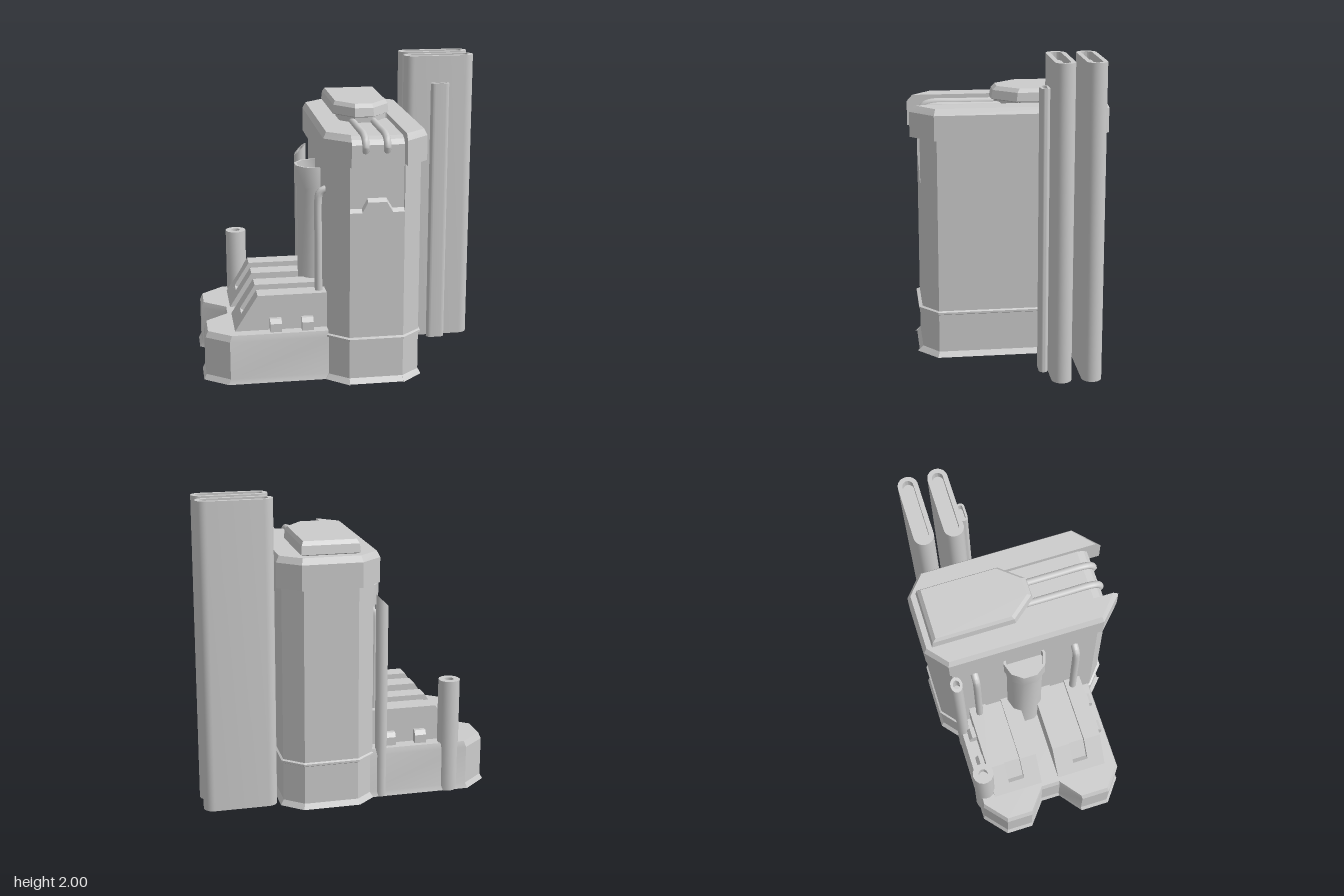
import * as THREE from 'three';
import { toCreasedNormals } from 'three/addons/utils/BufferGeometryUtils.js';

const SHARP = 0.3, ROUND = 0.7;
const material = new THREE.MeshStandardMaterial({ color: 0xcccccc, side: THREE.DoubleSide });

const shapeOf = (pts) => new THREE.Shape(pts.map(([x, y]) => new THREE.Vector2(x, y)));

// Stacks outlines of [x, z] points; each level is { y, pts }. The top may be closed.
function loft(levels, closeTop = true) {
  const out = [];
  const put = (p, y) => out.push(p[0], y, p[1]);
  for (let k = 0; k < levels.length - 1; k++) {
    const lo = levels[k], hi = levels[k + 1], n = lo.pts.length;
    for (let i = 0; i < n; i++) {
      const j = (i + 1) % n;
      put(lo.pts[i], lo.y); put(hi.pts[i], hi.y); put(lo.pts[j], lo.y);
      put(lo.pts[j], lo.y); put(hi.pts[i], hi.y); put(hi.pts[j], hi.y);
    }
  }
  if (closeTop) {
    const { y, pts } = levels[levels.length - 1];
    const flat = pts.map(([x, z]) => new THREE.Vector2(x, z));
    for (const [a, b, c] of THREE.ShapeUtils.triangulateShape(flat, [])) {
      const up = THREE.ShapeUtils.area([flat[a], flat[b], flat[c]]) < 0;
      for (const i of up ? [a, b, c] : [a, c, b]) put(pts[i], y);
    }
  }
  const g = new THREE.BufferGeometry();
  g.setAttribute('position', new THREE.Float32BufferAttribute(out, 3));
  return g;
}

const scaled = (pts, s, cx, cz) => pts.map(([x, z]) => [cx + (x - cx) * s, cz + (z - cz) * s]);

// Tower outline grown by d, with a front notch that reaches back to z = notch
function towerOutline(d, notch) {
  const x0 = -0.15 - d, x1 = 0.44 + d, e = d * 0.5, front = 0.577 + d * 1.8;
  return [[-0.03, front], [x0, 0.477 + e], [x0, -0.5 - e], [-0.03 - e, -0.6 - d],
    [0.32 + e, -0.6 - d], [x1, -0.5 - e], [x1, 0.477 + e], [0.32, front],
    [0.32, notch], [-0.03, notch]];
}

// Extrudes a [z, y] profile between x0 and x1
function extrudeX(profile, x0, x1) {
  const g = new THREE.ExtrudeGeometry(shapeOf(profile), { depth: x1 - x0, bevelEnabled: false });
  return g.rotateY(-Math.PI / 2).translate(x1, 0, 0);
}

// Upright flat tube with rounded ends
function stadium(halfX, r, height, holeR) {
  const trace = (path, rr) => {
    const c = halfX - r;
    path.absarc(c, 0, rr, -Math.PI / 2, Math.PI / 2, false);
    path.absarc(-c, 0, rr, Math.PI / 2, Math.PI * 1.5, false);
    path.closePath();
    return path;
  };
  const shape = trace(new THREE.Shape(), r);
  if (holeR) shape.holes.push(trace(new THREE.Path(), holeR));
  const g = new THREE.ExtrudeGeometry(shape, { depth: height, bevelEnabled: false, curveSegments: 8 });
  return g.rotateX(-Math.PI / 2);
}

// Round post with a sunk hole in its top
function hollowPost(r, hole, y0, y1, depth, sides) {
  const p = [[0, y0], [r, y0], [r, y1], [hole, y1], [hole, y1 - depth], [0, y1 - depth]];
  return new THREE.LatheGeometry(p.map(([x, y]) => new THREE.Vector2(x, y)), sides);
}

function bentPipe(points, r) {
  const curve = new THREE.CatmullRomCurve3(points.map((p) => new THREE.Vector3(...p)), false, 'centripetal');
  return new THREE.TubeGeometry(curve, 32, r, 10);
}

export function createModel() {
  const model = new THREE.Group();
  const add = (name, geo, crease = SHARP, x = 0, y = 0, z = 0) => {
    const mesh = new THREE.Mesh(toCreasedNormals(geo, crease), material);
    mesh.name = name;
    mesh.position.set(x, y, z);
    model.add(mesh);
    return mesh;
  };

  // Low side base with two lobes, a flared foot and a bevelled top
  const base = [[-0.1, 0.475], [-0.79, 0.475], [-0.94, 0.36], [-0.94, 0.165], [-0.79, 0.045],
    [-0.79, -0.085], [-0.94, -0.205], [-0.94, -0.385], [-0.79, -0.515], [-0.1, -0.515]];
  add('sideBase', loft([[0, 1.02], [0.035, 1], [0.29, 1], [0.33, 0.98]]
    .map(([y, s]) => ({ y, pts: scaled(base, s, -0.1, -0.02) }))));

  // Tower body, waist band and front panel
  add('towerBody', loft([[0, 0.02, 0.6], [0.035, 0, 0.577], [1, 0, 0.577], [1, 0, 0.55], [1.56, 0, 0.55]]
    .map(([y, d, notch]) => ({ y, pts: towerOutline(d, notch) }))));
  add('waistBand', loft([[0.288, 0], [0.295, 0.012], [0.308, 0.012], [0.315, 0]]
    .map(([y, d]) => ({ y, pts: towerOutline(d, 0.577 + d * 1.8) })), false));
  const plate = new THREE.ExtrudeGeometry(shapeOf([[-0.03, 0.99], [0.32, 0.99], [0.32, 1.165],
    [0.245, 1.165], [0.205, 1.232], [0.085, 1.232], [0.05, 1.165], [-0.03, 1.165]]),
  { depth: 0.027, bevelEnabled: false });
  const pos = plate.attributes.position;
  for (let i = 0; i < pos.count; i++) {
    if (pos.getZ(i) > 0.01 && pos.getY(i) > 1.1) pos.setY(i, pos.getY(i) - 0.022);
  }
  add('frontPlate', plate, SHARP, 0, 0, 0.55);

  // Tower cap, split at the front by the pipe channel
  add('towerCap', loft([[1.45, 0], [1.45, 0.035], [1.61, 0.035], [1.65, 0.015]]
    .map(([y, d]) => ({ y, pts: towerOutline(d, -0.05) }))));
  add('channelFloor', extrudeX([[0.55, 1.5], [0.55, 1.57], [0.525, 1.6], [0.48, 1.615],
    [-0.1, 1.615], [-0.1, 1.5]], -0.03, 0.32));

  // Raised hood on the cap
  const hood = [[0.08, 0.11], [-0.045, -0.04], [-0.045, -0.58], [0.33, -0.58], [0.33, -0.04], [0.205, 0.11]];
  add('roofHood', loft([[1.6, 0.92], [1.65, 0.92], [1.66, 1], [1.715, 0.97], [1.74, 0.9]]
    .map(([y, s]) => ({ y, pts: scaled(hood, s, 0.1425, -0.25) }))));

  // Roof pipes that bend down over the front edge
  for (const x of [0.073, 0.21]) {
    add('roofPipe', bentPipe([[x, 1.62, -0.05], [x, 1.62, 0.3], [x, 1.62, 0.48], [x, 1.605, 0.53],
      [x, 1.57, 0.555], [x, 1.54, 0.555], [x, 1.53, 0.53]], 0.023), ROUND);
  }

  // Sloped blocks, each with a sunk slot, and clips on the outer walls
  const full = [[-0.75, 0.32], [-0.1, 0.32], [-0.1, 0.565], [-0.6, 0.565], [-0.75, 0.33]];
  const sunk = [[-0.75, 0.32], [-0.1, 0.32], [-0.1, 0.53], [-0.585, 0.53], [-0.67, 0.39],
    [-0.7, 0.408], [-0.75, 0.33]];
  for (const cuts of [[-0.42, -0.3, -0.19, -0.075], [0.046, 0.17, 0.275, 0.39]]) {
    for (let i = 0; i < 3; i++) {
      add(i === 1 ? 'blockSlot' : 'slopedBlock', new THREE.ExtrudeGeometry(shapeOf(i === 1 ? sunk : full),
        { depth: cuts[i + 1] - cuts[i], bevelEnabled: false }), SHARP, 0, 0, cuts[i]);
    }
  }
  for (const [wall, s] of [[0.385, 1], [-0.415, -1]]) {
    for (const x of [-0.525, -0.318]) {
      add('clip', extrudeX([[0, 0.32], [0.055, 0.32], [0.055, 0.385], [0.035, 0.413], [0, 0.413]]
        .map(([u, y]) => [wall + s * u, y]), x, x + 0.075));
    }
  }

  // Tank on the tower side with an open collar
  add('tank', new THREE.CylinderGeometry(0.122, 0.122, 0.95, 10), ROUND, -0.168, 0.775, -0.022);
  add('tankCollar', hollowPost(0.14, 0.124, 1.19, 1.33, 0.08, 10), ROUND, -0.168, 0, -0.022);

  // Bent pipes between the blocks and the tower wall
  for (const z of [-0.355, 0.325]) {
    add('wallPipe', bentPipe([[-0.195, 0.54, z], [-0.195, 0.85, z], [-0.195, 1.17, z], [-0.188, 1.215, z],
      [-0.165, 1.238, z], [-0.13, 1.242, z]], 0.025), ROUND);
  }

  // Rear posts; the tall one is cut at a slant
  add('shortPost', hollowPost(0.07, 0.03, 0, 0.76, 0.06, 14), ROUND, -0.674, 0, -0.47);
  const tall = hollowPost(0.04, 0.022, 0, 1.325, 0.08, 12), tp = tall.attributes.position;
  for (let i = 0; i < tp.count; i++) {
    if (tp.getY(i) > 1.3) tp.setY(i, tp.getY(i) + tp.getX(i));
  }
  add('tallPost', tall, ROUND, -0.21, 0, -0.49);

  // Free-standing flat stacks
  for (const [x, z, half, r, hole, h] of [[0.713, -0.2525, 0.239, 0.063, 0.034, 2],
    [0.713, -0.442, 0.239, 0.063, 0.034, 2], [0.707, -0.16, 0.063, 0.028, 0.014, 1.82]]) {
    add('stack', stadium(half, r, h, hole), ROUND, x, 0, z);
    add('stackCore', stadium(half - r + hole, hole, h - 0.05), ROUND, x, 0, z);
  }
  return model;
}
